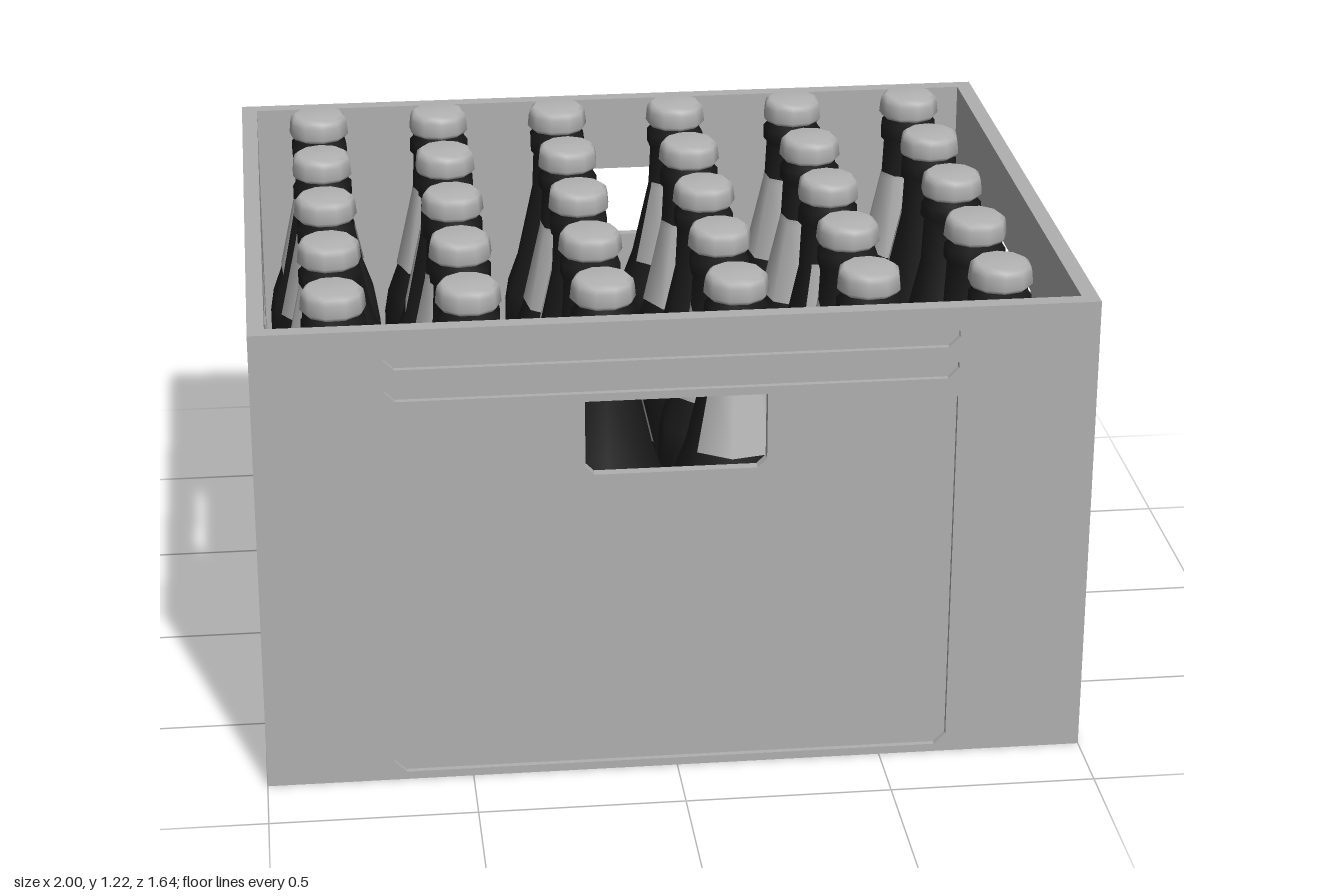
import * as THREE from 'three';

const WIDTH = 2, DEPTH = 1.64, HEIGHT = 1.18, WALL = 0.04, RECESS = 0.014;

const crateGrey = new THREE.MeshStandardMaterial({ color: 0xb0b0b0 });
const bottleBlack = new THREE.MeshStandardMaterial({ color: 0x1c1c1c });
const labelGrey = new THREE.MeshStandardMaterial({ color: 0xb8b8b8, side: THREE.DoubleSide });
const capGrey = new THREE.MeshStandardMaterial({ color: 0xb4b4b4 });

function mesh(name, geometry, material) {
  const m = new THREE.Mesh(geometry, material);
  m.name = name;
  return m;
}

// Rectangle with cut corners; b cuts the bottom corners, t the top ones
function cutRect(Type, x0, x1, y0, y1, b, t = b) {
  const points = [
    [x0 + b, y0], [x1 - b, y0], [x1, y0 + b], [x1, y1 - t],
    [x1 - t, y1], [x0 + t, y1], [x0, y1 - t], [x0, y0 + b],
  ];
  return new Type(points.map(([x, y]) => new THREE.Vector2(x, y)));
}

const extrude = (shape, depth) =>
  new THREE.ExtrudeGeometry(shape, { depth, bevelEnabled: false });

// One wall facing +z with its outer face at z = 0
function makeWall(name, width, panel, handle) {
  const wall = new THREE.Group();
  wall.name = name;

  // Outer layer, cut open over the panel and the two grooves
  const [left, right] = panel;
  const outer = cutRect(THREE.Shape, -width / 2, width / 2, 0, HEIGHT, 0);
  outer.holes.push(
    cutRect(THREE.Path, left, right, 0.02, 0.98, 0.028),
    cutRect(THREE.Path, left, right, 1.0, 1.064, 0.025),
    cutRect(THREE.Path, left, right, 1.08, 1.144, 0.025),
  );
  const skin = mesh('wallSkin', extrude(outer, RECESS), crateGrey);
  skin.position.z = -RECESS;

  // Inner layer, pierced only by the hand hole
  const inner = cutRect(THREE.Shape, -width / 2, width / 2, 0, HEIGHT, 0);
  inner.holes.push(cutRect(THREE.Path, handle[0], handle[1], 0.785, 0.98, 0.022, 0));
  const core = mesh('wallCore', extrude(inner, WALL - RECESS), crateGrey);
  core.position.z = -WALL;

  wall.add(skin, core);
  return wall;
}

function makeCrate() {
  const crate = new THREE.Group();
  crate.name = 'crate';
  const floor = mesh('floor',
    new THREE.BoxGeometry(WIDTH - 2 * WALL, WALL, DEPTH - 2 * WALL), crateGrey);
  floor.position.y = WALL / 2;
  crate.add(floor);

  ['frontWall', 'leftWall', 'backWall', 'rightWall'].forEach((name, i) => {
    const long = i % 2 === 0;
    const wall = long
      ? makeWall(name, WIDTH, [-0.69, 0.665], [-0.22, 0.213])
      : makeWall(name, DEPTH - 2 * WALL, [-0.515, 0.49], [-0.24, 0.235]);
    const turn = i * Math.PI / 2;
    const distance = (long ? DEPTH : WIDTH) / 2;
    wall.rotation.y = turn;
    wall.position.set(Math.sin(turn) * distance, 0, Math.cos(turn) * distance);
    crate.add(wall);
  });
  return crate;
}

const lathe = (points, sides, length = Math.PI * 2) =>
  new THREE.LatheGeometry(points.map(([r, y]) => new THREE.Vector2(r, y)), sides, 0, length);

// Eight-sided glass, a neck label over half the shoulder, and a cap
const glass = lathe([
  [0, 0.041], [0.157, 0.045], [0.157, 0.64], [0.147, 0.7], [0.118, 0.78], [0.073, 0.98],
  [0.068, 1.09], [0.077, 1.1], [0.077, 1.135], [0.068, 1.145], [0.066, 1.18],
], 8);
const label = lathe([[0.122, 0.78], [0.0755, 0.985], [0.0735, 1.0]], 4, Math.PI);
const cap = lathe([
  [0.07, 1.155], [0.079, 1.165], [0.076, 1.195], [0.073, 1.208], [0.062, 1.217], [0, 1.218],
], 10);

function makeBottle(turn) {
  const bottle = new THREE.Group();
  bottle.name = 'bottle';
  bottle.add(
    mesh('glass', glass, bottleBlack),
    mesh('neckLabel', label, labelGrey),
    mesh('cap', cap, capGrey),
  );
  bottle.rotation.y = -THREE.MathUtils.degToRad(turn);
  return bottle;
}

// Direction each label faces, clockwise from +x seen from above, back row first
const TURNS = [
  [-115, 140, -20, 65, 150, 170],
  [-145, -110, 150, 130, 100, -100],
  [160, 125, -65, 20, 40, 5],
  [10, -100, 20, 160, -110, 20],
  [-130, 20, -90, 55, 10, 110],
];

export function createModel() {
  const model = new THREE.Group();
  model.name = 'bottleCrate';
  model.add(makeCrate());

  const bottles = new THREE.Group();
  bottles.name = 'bottles';
  TURNS.forEach((row, j) => row.forEach((turn, i) => {
    const bottle = makeBottle(turn);
    bottle.position.set((i - 2.5) * 0.319, 0, (j - 2) * 0.314 - 0.005);
    bottles.add(bottle);
  }));
  model.add(bottles);
  return model;
}
